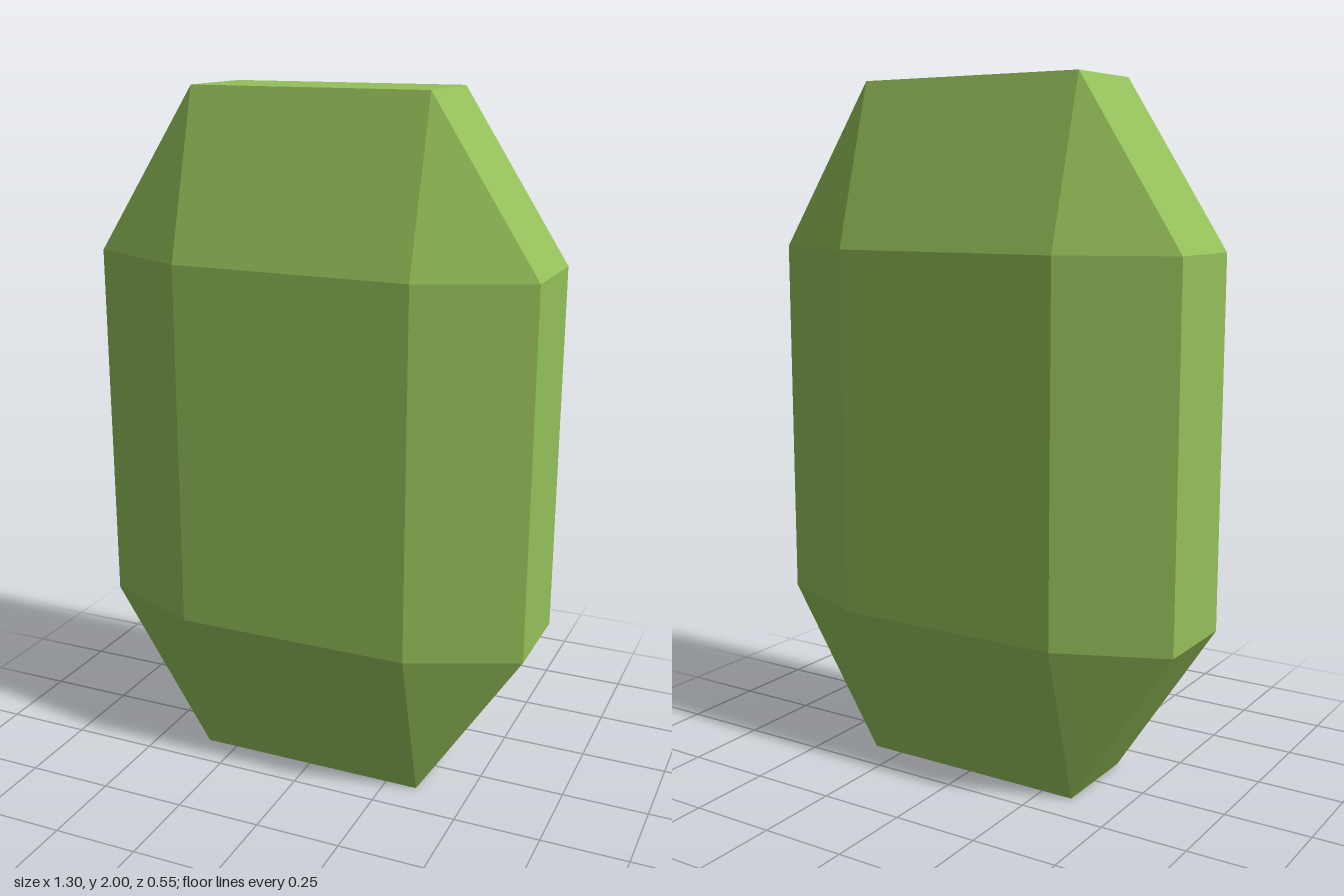
import * as THREE from 'three';
import { ConvexGeometry } from 'three/addons/geometries/ConvexGeometry.js';

export function createModel() {
  const group = new THREE.Group();
  group.name = 'cutGem';

  const green = new THREE.MeshStandardMaterial({ color: 0x95c05a });
  green.name = 'gem green';

  // Half sizes: octagonal girdle and the raised flat table on each side
  const halfWidth = 0.65, halfHeight = 1, girdleZ = 0.14;
  const tableX = 0.345, tableY = 0.53, tableZ = 0.275;

  // One corner of the gem, mirrored into all eight octants
  const points = [];
  for (const sx of [-1, 1]) {
    for (const sy of [-1, 1]) {
      for (const sz of [-1, 1]) {
        const add = (x, y, z) => points.push(new THREE.Vector3(sx * x, sy * y, sz * z));
        add(tableX, halfHeight, girdleZ);
        add(halfWidth, tableY, girdleZ);
        add(tableX, tableY, tableZ);
      }
    }
  }

  // Flat facets between the corners
  const gem = new THREE.Mesh(new ConvexGeometry(points), green);
  gem.name = 'facetedGem';
  gem.position.y = halfHeight;
  group.add(gem);

  return group;
}
